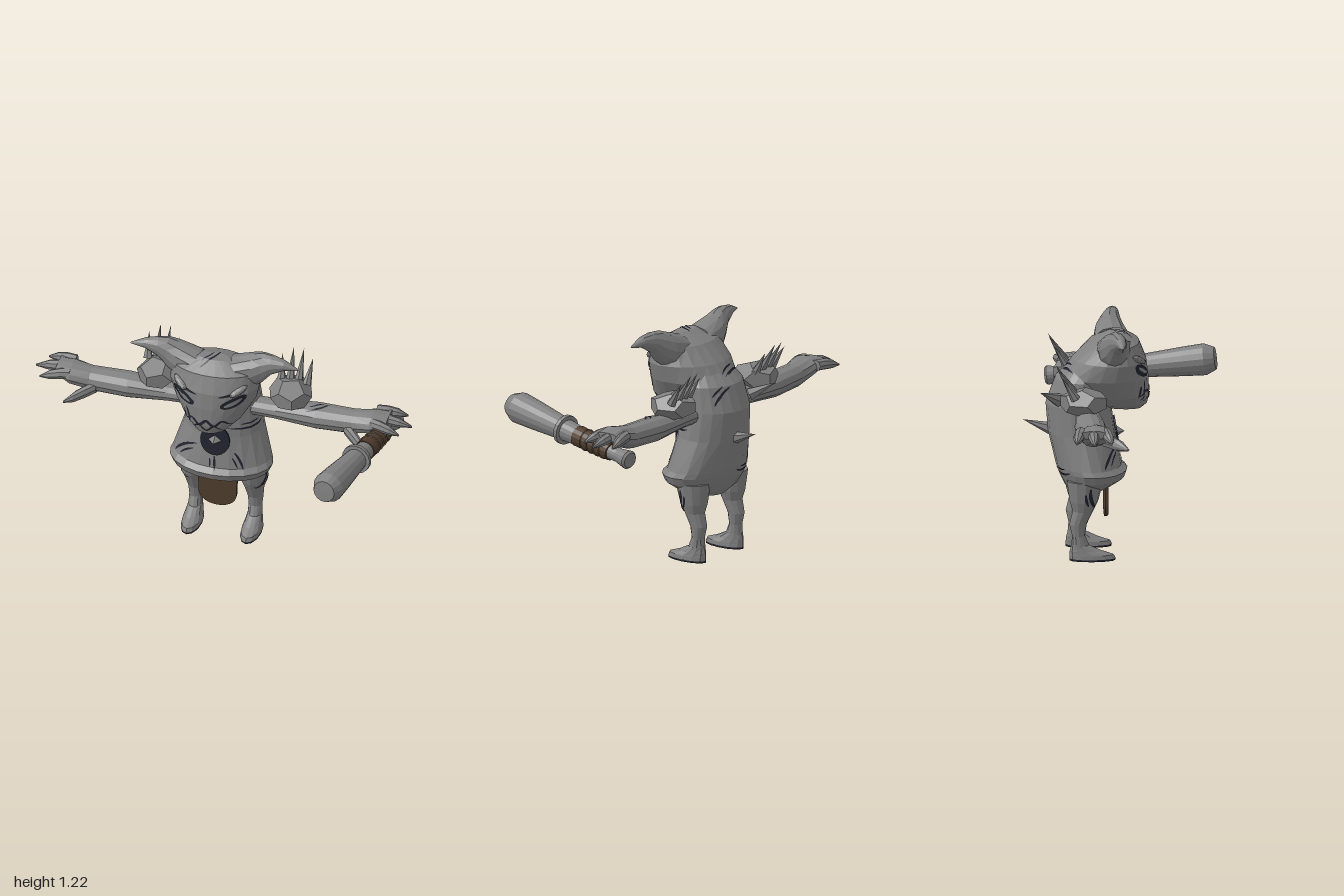
import * as THREE from 'three';

const flat = (name, color) => {
  const m = new THREE.MeshStandardMaterial({ color, flatShading: true, side: THREE.DoubleSide });
  m.name = name;
  return m;
};

function indexed(pos, idx) {
  const g = new THREE.BufferGeometry();
  g.setAttribute('position', new THREE.Float32BufferAttribute(pos, 3));
  g.setIndex(idx);
  g.computeVertexNormals();
  return g;
}

// Skin a list of equal-length rings, with a fan cap at each end
function skin(rings) {
  const n = rings[0].length, pos = rings.flat(2), idx = [];
  for (let i = 0; i < rings.length - 1; i++)
    for (let j = 0; j < n; j++) {
      const a = i * n + j, b = i * n + (j + 1) % n;
      idx.push(a, b, b + n, a, b + n, a + n);
    }
  [0, rings.length - 1].forEach(k => {
    const c = pos.length / 3;
    pos.push(...[0, 1, 2].map(d => rings[k].reduce((s, p) => s + p[d], 0) / n));
    for (let j = 0; j < n; j++) {
      const a = k * n + j, b = k * n + (j + 1) % n;
      k ? idx.push(a, b, c) : idx.push(b, a, c);
    }
  });
  return indexed(pos, idx);
}

const ring = (n, point) => Array.from({ length: n }, (_, j) => point(j / n * Math.PI * 2));

// Upright form: sections [y, half width, front z, back z], widest at share k from the back
const upright = (sections, n, k, cx = 0) => skin(sections.map(([y, w, zf, zb]) => ring(n, a => {
  const zc = zb + (zf - zb) * k, s = -Math.sin(a);
  return [cx + w * Math.cos(a), y, zc + s * (s > 0 ? zf - zc : zc - zb)];
})));

// Sideways form: sections [x, centre y, centre z, radius y, radius z]
const sideways = (sections, n) => skin(sections.map(([x, y, z, ry, rz]) =>
  ring(n, a => [x, y + ry * Math.cos(a), z + rz * Math.sin(a)])));

// Mirror a geometry across x, keeping faces outward
function mirror(geo) {
  const g = geo.index ? geo.toNonIndexed() : geo.clone();
  g.scale(-1, 1, 1);
  const p = g.attributes.position, b = new THREE.Vector3(), c = new THREE.Vector3();
  for (let i = 0; i < p.count; i += 3) {
    b.fromBufferAttribute(p, i + 1);
    c.fromBufferAttribute(p, i + 2);
    p.setXYZ(i + 1, ...c);
    p.setXYZ(i + 2, ...b);
  }
  g.computeVertexNormals();
  return g;
}

// Cone from a base point to a tip
function spike(base, tip, r) {
  const a = new THREE.Vector3(...base), b = new THREE.Vector3(...tip), d = b.clone().sub(a);
  const g = new THREE.ConeGeometry(r, d.length(), 6);
  g.applyQuaternion(new THREE.Quaternion().setFromUnitVectors(new THREE.Vector3(0, 1, 0), d.normalize()));
  return g.translate(...a.add(b).multiplyScalar(0.5));
}

// Ray set-ups for laying painted marks on a surface
const VIEWS = {
  front: (u, v) => [[u, v, 3], [0, 0, -1]],
  back: (u, v) => [[u, v, -3], [0, 0, 1]],
  left: (u, v) => [[3, v, u], [-1, 0, 0]],
  right: (u, v) => [[-3, v, u], [1, 0, 0]],
  top: (u, v) => [[u, 3, v], [0, -1, 0]],
};

// Tapered ribbon projected onto a mesh; path(t) gives a 2D point
function ribbon(target, view, path, width, lift = 0.004) {
  const pos = [], idx = [], steps = 28;
  const hit = (u, v) => {
    const [o, d] = VIEWS[view](u, v).map(a => new THREE.Vector3(...a));
    const h = new THREE.Raycaster(o, d).intersectObject(target)[0];
    return h && h.point.addScaledVector(d, -lift);
  };
  for (let i = 0; i <= steps; i++) {
    const t = i / steps, [u, v] = path(t), [u1, v1] = path(t + 0.01);
    const w = width / 2 * Math.sqrt(Math.sin(Math.PI * (0.02 + 0.96 * t))) / Math.hypot(u1 - u, v1 - v);
    const du = (v1 - v) * w, dv = (u1 - u) * w;
    const a = hit(u - du, v + dv), b = hit(u + du, v - dv);
    if (!a || !b) continue;
    pos.push(...a, ...b);
    const k = pos.length / 3;
    if (k >= 4) idx.push(k - 4, k - 3, k - 1, k - 4, k - 1, k - 2);
  }
  return indexed(pos, idx);
}

// Bowed 2D path between two points
const arc = (u0, v0, u1, v1, bend) => t => {
  const s = bend * 4 * t * (1 - t);
  return [u0 + (u1 - u0) * t - (v1 - v0) * s, v0 + (v1 - v0) * t + (u1 - u0) * s];
};

export function createModel() {
  const model = new THREE.Group();
  model.name = 'hornedCreature';
  const stone = flat('stone grey', 0x808080), ink = flat('ink', 0x22222e);
  const leather = flat('leather brown', 0x503d2e), cord = flat('cord tan', 0x8c7a64);
  const add = (name, geo, mat = stone, parent = model) => {
    const m = new THREE.Mesh(geo, mat);
    m.name = name;
    parent.add(m);
    return m;
  };
  const pair = (name, geo, mat) => [add('left' + name, geo, mat), add('right' + name, mirror(geo), mat)];

  // Torso with overhanging belly and hunched back
  const torso = add('torso', upright([
    [0.33, 0.09, -0.12, -0.27], [0.365, 0.19, -0.07, -0.3], [0.415, 0.255, 0.005, -0.325],
    [0.455, 0.272, 0.02, -0.34], [0.48, 0.26, -0.01, -0.348], [0.65, 0.208, -0.045, -0.388],
    [0.8, 0.19, -0.065, -0.4], [0.93, 0.18, -0.08, -0.352], [1, 0.14, -0.1, -0.28]], 20, 0.5));

  // Head, wide at the brow and narrow at the chin
  const head = add('head', upright([
    [0.765, 0.05, 0.09, -0.08], [0.79, 0.1, 0.12, -0.2], [0.84, 0.155, 0.132, -0.29],
    [0.94, 0.215, 0.128, -0.33], [1.03, 0.236, 0.116, -0.265], [1.12, 0.21, 0.08, -0.175],
    [1.168, 0.08, 0, -0.07]], 22, 0.6));

  // Curved horns
  pair('Horn', sideways([
    [0.08, 1.09, -0.05, 0.075, 0.1], [0.2, 1.11, -0.06, 0.095, 0.08], [0.25, 1.135, -0.055, 0.088, 0.06],
    [0.3, 1.168, -0.045, 0.056, 0.044], [0.37, 1.183, -0.035, 0.028, 0.028],
    [0.446, 1.173, -0.028, 0.004, 0.004]], 12));

  // Raised brows
  pair('Brow', new THREE.IcosahedronGeometry(1, 1).scale(0.055, 0.018, 0.022)
    .rotateZ(0.4).rotateY(0.75).translate(0.155, 1.05, 0.068));

  // Arms, fingers and thumbs
  const [leftArm] = pair('Arm', sideways([
    [0.12, 0.78, -0.2, 0.045, 0.06], [0.28, 0.78, -0.2, 0.047, 0.065], [0.5, 0.78, -0.2, 0.064, 0.08],
    [0.7, 0.785, -0.195, 0.062, 0.07], [0.8, 0.81, -0.19, 0.053, 0.085], [0.88, 0.828, -0.205, 0.022, 0.075]], 12));
  const taper = [0.03, 0.03, 0.025, 0.005];
  [-1, 0, 1].forEach(i => pair('Finger', sideways(taper.map((r, k) => {
    const t = k / 3;
    return [0.8 + (0.2 - 0.045 * i * i) * t, 0.825 - 0.025 * t * t, -0.205 + i * (0.06 + 0.03 * t), r, r];
  }), 8)));
  pair('Thumb', sideways(taper.map((r, k) => {
    const t = k / 3;
    return [0.66 + 0.145 * t, 0.765 - 0.035 * t, -0.16 + 0.137 * t, r * 1.15, r * 1.3];
  }), 8));

  // Faceted shoulder pads with a row of spikes
  pair('ShoulderPad', new THREE.DodecahedronGeometry(1, 0).scale(0.115, 0.075, 0.13)
    .rotateY(0.3).translate(0.35, 0.877, -0.225));
  [-1.5, -0.5, 0.5, 1.5].forEach(i => pair('ShoulderSpike', spike(
    [0.355 + i * 0.045, 0.91, -0.27], [0.355 + i * 0.054, 1.073 - 0.02 * i * i, -0.368 + 0.012 * i * i], 0.025)));

  // Spikes on the back
  add('upperBackSpike', spike([-0.14, 0.84, -0.34], [-0.235, 0.9, -0.44], 0.036));
  add('lowerBackSpike', spike([0.02, 0.655, -0.375], [0.035, 0.7, -0.515], 0.032));

  // Legs and feet with dark soles
  const legX = 0.158;
  const [leftLeg, rightLeg] = pair('Leg', upright([
    [0.01, 0.052, -0.05, -0.287], [0.03, 0.05, -0.06, -0.287], [0.05, 0.044, -0.12, -0.285],
    [0.08, 0.038, -0.185, -0.277], [0.13, 0.036, -0.207, -0.273], [0.19, 0.042, -0.198, -0.287],
    [0.26, 0.053, -0.165, -0.27], [0.31, 0.068, -0.14, -0.285], [0.42, 0.085, -0.11, -0.3]], 12, 0.5, legX));
  pair('Sole', new THREE.CylinderGeometry(1, 1, 0.01, 12).scale(0.052, 1, 0.118).translate(legX, 0.005, -0.169), ink);

  // Loincloth with a rounded hem
  const cloth = new THREE.Shape();
  cloth.moveTo(-0.105, 0.2).lineTo(-0.1, 0.07);
  cloth.bezierCurveTo(-0.085, -0.02, 0.085, -0.02, 0.1, 0.07);
  cloth.lineTo(0.105, 0.2);
  add('loincloth', new THREE.ExtrudeGeometry(cloth, { depth: 0.018, bevelEnabled: false })
    .translate(0, 0.195, -0.1), leather);

  // Chest disc with a pointed stud
  add('chestDisc', new THREE.CylinderGeometry(0.078, 0.078, 0.009, 24).scale(1, 1, 1.1)
    .rotateX(Math.PI / 2 - 0.16).translate(0, 0.638, -0.037), ink);
  add('chestStud', new THREE.OctahedronGeometry(1, 0).scale(0.036, 0.028, 0.04).translate(0, 0.64, -0.035));

  // Club, built along +y and then aimed from its knob to its head
  const club = new THREE.Group();
  club.name = 'club';
  const knob = new THREE.Vector3(0.877, 0.728, -0.35), tip = new THREE.Vector3(0.735, 0.84, 0.515);
  club.position.copy(knob);
  club.quaternion.setFromUnitVectors(new THREE.Vector3(0, 1, 0), tip.sub(knob).normalize());
  model.add(club);
  const profile = [[0, 0], [0.04, 0], [0.05, 0.012], [0.037, 0.085], [0.05, 0.38], [0.076, 0.72],
    [0.082, 0.83], [0.058, 0.884], [0, 0.886]];
  add('clubShaft', new THREE.LatheGeometry(profile.map(p => new THREE.Vector2(...p)), 16), stone, club);
  add('clubGrip', new THREE.CylinderGeometry(0.055, 0.047, 0.25, 16).translate(0, 0.263, 0), leather, club);
  for (let i = 0; i < 4; i++)
    add('gripCord', new THREE.TorusGeometry(0.051 + i * 0.0015, 0.003, 4, 16).rotateX(Math.PI / 2 + 0.1)
      .translate(0, 0.185 + i * 0.045, 0), cord, club);
  add('clubRing', new THREE.CylinderGeometry(0.078, 0.078, 0.022, 16).translate(0, 0.485, 0), stone, club);

  // Eyes: dark lens with a pale slit, under a dark brow line
  [1, -1].forEach(s => {
    const eye = arc(s * 0.07, 0.965, s * 0.19, 1.025, -0.07 * s);
    add('eyeRim', ribbon(head, 'front', eye, 0.055), ink);
    add('eyeSlit', ribbon(head, 'front', t => eye(0.15 + 0.7 * t), 0.022, 0.009));
    add('browLine', ribbon(head, 'front', arc(s * 0.06, 1.02, s * 0.18, 1.05, 0), 0.014), ink);
  });

  // Zigzag mouth
  const zigzag = (half, y, waves) => t => [half * (2 * t - 1), y - 0.015 * Math.cos(t * waves * Math.PI * 2)];
  add('upperMouthLine', ribbon(head, 'front', zigzag(0.12, 0.86, 3), 0.016), ink);
  add('lowerMouthLine', ribbon(head, 'front', zigzag(0.08, 0.83, 2), 0.011), ink);

  // Painted claw marks: a long stroke with a shorter one beside it
  const claw = (target, view, path, width = 0.012, gap = 0.025) => {
    const [a, b] = path(0), [c, d] = path(1), k = gap / Math.hypot(c - a, d - b);
    const beside = t => {
      const [u, v] = path(0.2 + 0.6 * t);
      return [u + (d - b) * k, v - (c - a) * k];
    };
    add('longMark', ribbon(target, view, path, width), ink);
    add('shortMark', ribbon(target, view, beside, width * 0.75), ink);
  };
  claw(torso, 'front', arc(-0.23, 0.49, -0.1, 0.59, 0.1));
  claw(torso, 'front', arc(0.1, 0.57, 0.15, 0.48, 0.05));
  claw(torso, 'front', arc(0, 0.55, 0.005, 0.47, 0));
  claw(torso, 'left', arc(-0.06, 0.705, -0.2, 0.705, 0.07));
  claw(torso, 'back', arc(-0.03, 0.465, -0.2, 0.465, 0.1));
  claw(torso, 'back', arc(0.14, 0.84, 0.04, 0.925, -0.1));
  claw(head, 'back', arc(0.06, 0.93, -0.12, 0.975, -0.15));
  claw(head, 'front', arc(-0.115, 0.93, -0.095, 0.82, 0.05));
  claw(head, 'top', arc(-0.06, 0.045, 0.02, -0.08, 0.08));
  claw(leftArm, 'top', arc(0.45, -0.15, 0.56, -0.21, 0.08));
  claw(leftLeg, 'left', arc(-0.18, 0.39, -0.155, 0.28, -0.1), 0.02);
  claw(rightLeg, 'right', arc(-0.18, 0.39, -0.155, 0.28, -0.1), 0.02);
  return model;
}
